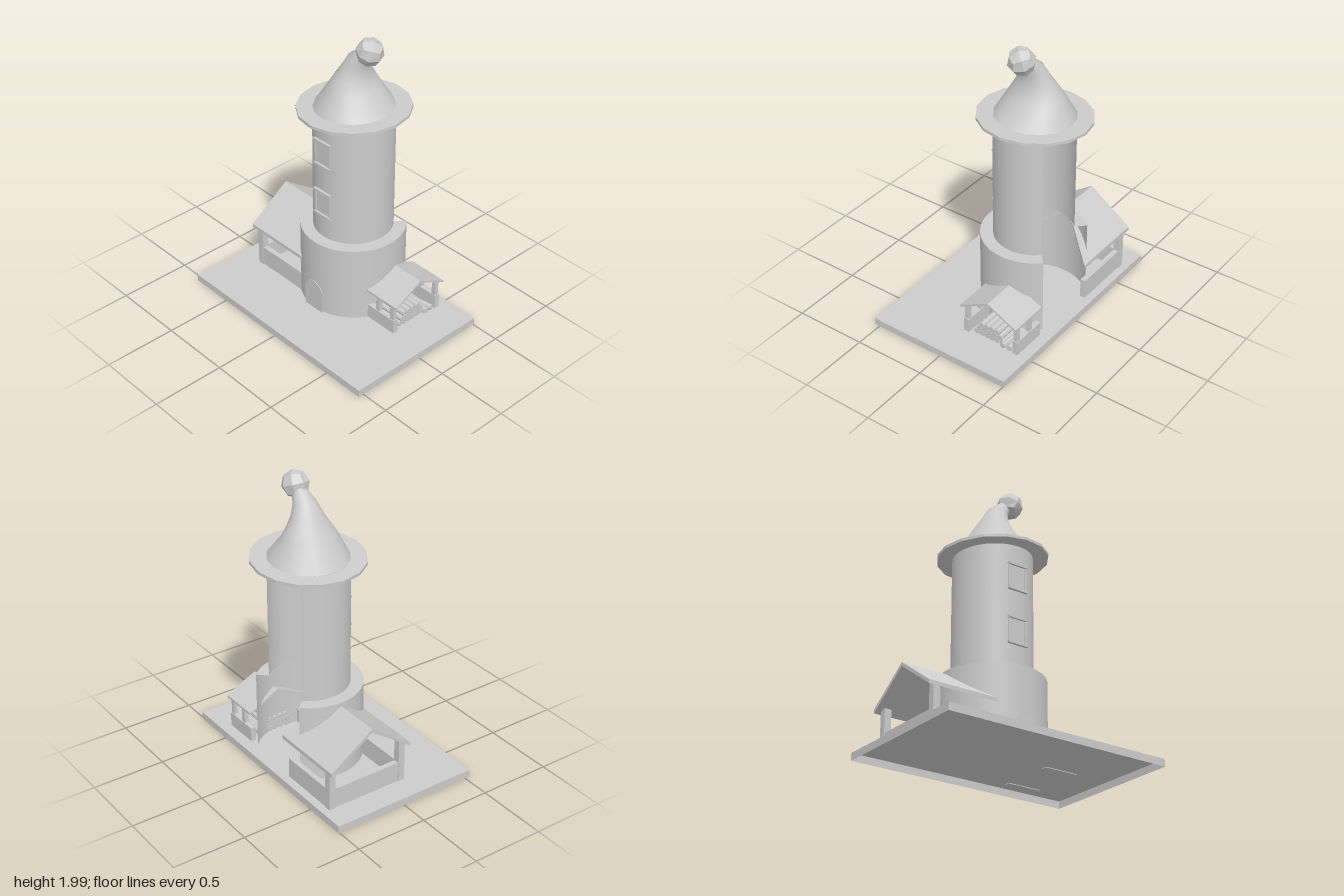
import * as THREE from 'three';

const CX = 0.165; // tower axis
const grey = new THREE.MeshStandardMaterial({ color: 0xcccccc });
const thin = new THREE.MeshStandardMaterial({ color: 0xcccccc, side: THREE.DoubleSide });
const faceted = new THREE.MeshStandardMaterial({ color: 0xcccccc, flatShading: true });

function add(parent, name, geometry, material = grey) {
  const mesh = new THREE.Mesh(geometry, material);
  mesh.name = name;
  parent.add(mesh);
  return mesh;
}

// box given by its limits on each axis
function box(parent, name, x0, x1, y0, y1, z0, z1) {
  const mesh = add(parent, name, new THREE.BoxGeometry(x1 - x0, y1 - y0, z1 - z0));
  mesh.position.set((x0 + x1) / 2, (y0 + y1) / 2, (z0 + z1) / 2);
  return mesh;
}

// gable roof: half a plan outline [x, -z], thickened and sloped away from x = 0, on both sides
function gableRoof(parent, name, outline, ridge, slope, thickness) {
  for (const side of [1, -1]) {
    const shape = new THREE.Shape(outline.map(([x, s]) => new THREE.Vector2(side * x, s)));
    const g = new THREE.ExtrudeGeometry(shape, { depth: thickness, bevelEnabled: false });
    g.rotateX(-Math.PI / 2);
    const p = g.attributes.position;
    for (let i = 0; i < p.count; i++) {
      p.setY(i, p.getY(i) + ridge - thickness - slope * Math.abs(p.getX(i)));
    }
    g.computeVertexNormals();
    add(parent, name, g);
  }
}

// ground slab, open underneath
function makeGround() {
  const g = new THREE.BoxGeometry(1.045, 0.05, 1.6);
  const index = Array.from(g.index.array);
  index.splice(18, 6); // drop the bottom face
  g.setIndex(index);
  g.clearGroups();
  const ground = new THREE.Mesh(g, thin);
  ground.name = 'groundSlab';
  ground.position.set(-0.0145, 0.025, 0);
  return ground;
}

function makeTower() {
  const tower = new THREE.Group();
  tower.name = 'tower';
  // round walls with the +x quarter left open
  const wall = (name, r, y0, y1) => {
    const g = new THREE.CylinderGeometry(r, r, y1 - y0, 48, 1, true, Math.PI * 0.75, Math.PI * 1.5);
    add(tower, name, g, thin).position.y = (y0 + y1) / 2;
  };
  wall('baseWall', 0.35, 0.05, 0.588);
  wall('towerWall', 0.265, 0.588, 1.465);
  const ledge = new THREE.RingGeometry(0.265, 0.35, 48, 1, Math.PI / 4, Math.PI * 1.5);
  ledge.rotateX(-Math.PI / 2);
  add(tower, 'ledge', ledge, thin).position.y = 0.588;

  // arched door on the -x side
  const arch = new THREE.Shape();
  arch.moveTo(-0.08, 0);
  arch.lineTo(0.08, 0);
  arch.lineTo(0.08, 0.14);
  arch.absarc(0, 0.14, 0.08, 0, Math.PI, false);
  const door = add(tower, 'door', new THREE.ExtrudeGeometry(arch, { depth: 0.005, bevelEnabled: false, curveSegments: 8 }));
  door.rotation.y = -Math.PI / 2;
  door.position.set(-0.351, 0.05, 0);

  // two framed windows above the door
  for (const y of [0.85, 1.225]) {
    box(tower, 'windowPane', -0.269, -0.266, y - 0.085, y + 0.085, -0.06, 0.06);
    for (const s of [-1, 1]) {
      box(tower, 'windowRail', -0.284, -0.266, y + s * 0.088 - 0.007, y + s * 0.088 + 0.007, -0.073, 0.073);
      box(tower, 'windowStile', -0.275, -0.266, y - 0.085, y + 0.085, s * 0.065 - 0.007, s * 0.065 + 0.007);
    }
  }
  return tower;
}

function makeHat() {
  const hat = new THREE.Group();
  hat.name = 'hatRoof';
  // tilted ring brim, open to the hollow cone
  const section = [[0.238, -0.01], [0.37, -0.01], [0.37, 0.01], [0.238, 0.01], [0.238, -0.01]];
  const brimShape = section.map(([r, y]) => new THREE.Vector2(r, y));
  const brim = add(hat, 'brim', new THREE.LatheGeometry(brimShape, 16), faceted);
  brim.position.y = 1.466;
  brim.rotation.x = -0.05;

  // bent cone: each ring is [front y, front z, back y, back z, half width]
  const rings = [
    [1.485, 0.265, 1.46, -0.265, 0.265],
    [1.62, 0.137, 1.63, -0.155, 0.185],
    [1.69, 0.112, 1.695, -0.118, 0.142],
    [1.74, 0.1, 1.75, -0.082, 0.11],
    [1.80, 0.103, 1.84, -0.03, 0.077],
    [1.86, 0.13, 1.91, 0.06, 0.045],
  ];
  const n = 16, pos = [], idx = [];
  rings.forEach(([yf, zf, yb, zb, w], r) => {
    for (let i = 0; i < n; i++) {
      const a = (i / n) * Math.PI * 2, t = (1 + Math.cos(a)) / 2;
      pos.push(w * Math.sin(a), yb + (yf - yb) * t, zb + (zf - zb) * t);
      if (r === 0) continue;
      const j = (i + 1) % n, a0 = (r - 1) * n + i, b0 = (r - 1) * n + j;
      idx.push(a0, b0, r * n + j, a0, r * n + j, r * n + i);
    }
  });
  const cone = new THREE.BufferGeometry();
  cone.setAttribute('position', new THREE.Float32BufferAttribute(pos, 3));
  cone.setIndex(idx);
  cone.computeVertexNormals();
  add(hat, 'bentCone', cone, thin);

  // faceted bobble: a divided cube pushed out to a sphere
  const ball = new THREE.BoxGeometry(1, 1, 1, 2, 2, 2);
  const p = ball.attributes.position, v = new THREE.Vector3();
  for (let i = 0; i < p.count; i++) {
    v.fromBufferAttribute(p, i).setLength(0.091);
    p.setXYZ(i, v.x, v.y, v.z);
  }
  const bobble = add(hat, 'bobble', ball, faceted);
  bobble.position.set(-0.005, 1.909, 0.138);
  bobble.rotation.set(0.4, Math.PI / 4, 0);
  return hat;
}

function makeBackShelter() {
  const shelter = new THREE.Group();
  shelter.name = 'backShelter';
  // the roof's front edge is cut back to straddle the round base
  const outline = [[0, 0.675], [0.305, 0.675], [0.305, 0.14], [0.1, 0.305], [0, 0.345]];
  gableRoof(shelter, 'shelterRoof', outline, 0.563, 0.7, 0.026);
  for (const s of [-1, 1]) {
    const x = s * 0.27;
    box(shelter, 'shelterPost', x - 0.023, x + 0.023, 0.05, 0.35, -0.633, -0.585);
    box(shelter, 'sideWall', x - 0.018, x + 0.018, 0.05, 0.19, -0.585, -0.18);
  }
  box(shelter, 'backWall', -0.25, 0.25, 0.05, 0.19, -0.627, -0.591);
  return shelter;
}

function makeWoodStore() {
  const store = new THREE.Group();
  store.name = 'woodStore';
  gableRoof(store, 'storeRoof', [[0, -0.577], [0.218, -0.577], [0.218, -0.297], [0, -0.297]], 0.383, 0.5, 0.015);
  for (const s of [-1, 1]) {
    const x = s * 0.193;
    box(store, 'lowWall', x - 0.019, x + 0.019, 0.045, 0.15, 0.3, 0.55);
    for (const z of [0.4, 0.528]) {
      box(store, 'storePost', x - 0.014, x + 0.014, 0.15, 0.28, z - 0.016, z + 0.016);
    }
  }
  // stacked logs plus two loose ones
  const log = (x, y, z, turn) => {
    const mesh = add(store, 'log', new THREE.CylinderGeometry(0.02, 0.02, 0.2, 8), faceted);
    mesh.rotation.set(Math.PI / 2, 0, turn);
    mesh.position.set(x, y, z);
  };
  [6, 5, 4].forEach((count, row) => {
    for (let i = 0; i < count; i++) {
      log(-0.025 + (i - (count - 1) / 2) * 0.04, 0.07 + row * 0.033, 0.43, 0);
    }
  });
  log(0.1, 0.07, 0.45, 0.06);
  log(0.13, 0.07, 0.45, -0.15);
  store.position.x = 0.218;
  return store;
}

export function createModel() {
  const model = new THREE.Group();
  model.name = 'towerHouse';
  model.add(makeGround());
  for (const part of [makeTower(), makeHat(), makeBackShelter()]) {
    part.position.x = CX;
    model.add(part);
  }
  model.add(makeWoodStore());
  return model;
}
